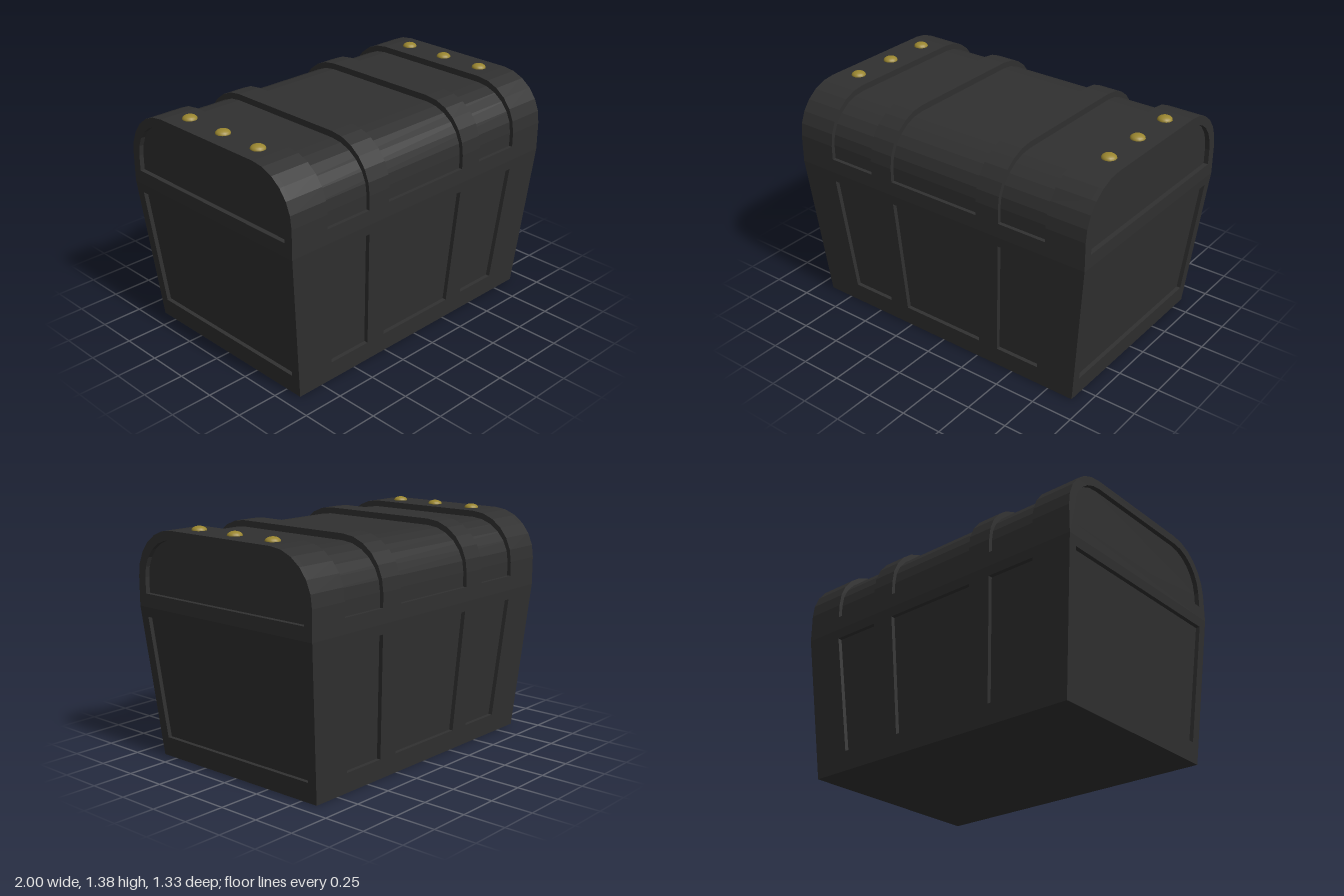
import * as THREE from 'three';

const SEAM = 0.9;      // height where the lid meets the body
const DEPTH = 0.025;   // recess depth of the panels
const halfX = y => 0.91 + 0.09 * y / SEAM;
const halfZ = y => 0.605 + 0.06 * y / SEAM;

// Symmetric arch outline in (z, y): straight walls, elliptical shoulders, flat top
function archPoints(bottom, half, spring, top, flat) {
  const right = [new THREE.Vector2(half, bottom)];
  const steps = 6;
  for (let i = 0; i <= steps; i++) {
    const a = (i / steps) * Math.PI / 2;
    right.push(new THREE.Vector2(flat + (half - flat) * Math.cos(a), spring + (top - spring) * Math.sin(a)));
  }
  const left = right.map(p => new THREE.Vector2(-p.x, p.y)).reverse();
  return [...right, ...left];
}

// Extrude a (z, y) shape along x from x0 to x1
function extrudeX(shape, x0, x1) {
  const g = new THREE.ExtrudeGeometry(shape, { depth: x1 - x0, bevelEnabled: false });
  g.rotateY(Math.PI / 2);
  g.translate(x0, 0, 0);
  return g;
}

// Sloping wall frame with panel openings, mitred at the corners
function wallFrame(across, out, holes) {
  const v = (x, y) => new THREE.Vector2(x, y);
  const shape = new THREE.Shape([v(-across(0), 0), v(across(0), 0), v(across(SEAM), SEAM), v(-across(SEAM), SEAM)]);
  for (const [b0, b1, t0, t1] of holes) {
    shape.holes.push(new THREE.Path([v(b0, 0.118), v(t0, 0.842), v(t1, 0.842), v(b1, 0.118)]));
  }
  const g = new THREE.ExtrudeGeometry(shape, { depth: DEPTH, bevelEnabled: false });
  const p = g.attributes.position;
  for (let i = 0; i < p.count; i++) {
    let x = p.getX(i);
    const y = p.getY(i), inset = DEPTH - p.getZ(i);
    if (Math.abs(x) > across(y) - 0.001) x -= Math.sign(x) * inset;
    p.setXYZ(i, x, y, out(y) - inset);
  }
  g.computeVertexNormals();
  return g;
}

export function createModel() {
  const dark = new THREE.MeshStandardMaterial({ color: 0x303030, flatShading: true });
  dark.name = 'charcoal';
  const gold = new THREE.MeshStandardMaterial({ color: 0x9a8630 });
  gold.name = 'gold';

  const chest = new THREE.Group();
  chest.name = 'chest';
  const body = new THREE.Group();
  body.name = 'body';
  const lid = new THREE.Group();
  lid.name = 'lid';
  chest.add(body, lid);
  const add = (parent, name, geometry, material = dark) => {
    const m = new THREE.Mesh(geometry, material);
    m.name = name;
    parent.add(m);
    return m;
  };

  // Tapered core whose faces are the recessed panels
  const core = new THREE.BoxGeometry(2, SEAM, 2);
  core.translate(0, SEAM / 2, 0);
  const p = core.attributes.position;
  for (let i = 0; i < p.count; i++) {
    const y = p.getY(i);
    p.setXYZ(i, p.getX(i) * (halfX(y) - DEPTH), y, p.getZ(i) * (halfZ(y) - DEPTH));
  }
  core.computeVertexNormals();
  add(body, 'bodyPanels', core);

  // Frames on the four walls
  const longHoles = [
    [-0.27, 0.27, -0.3, 0.3],
    [0.4, 0.68, 0.445, 0.75],
    [-0.68, -0.4, -0.75, -0.445],
  ];
  const endHoles = [[-0.555, 0.555, -0.605, 0.605]];
  const longFrame = wallFrame(halfX, halfZ, longHoles);
  const endFrame = wallFrame(halfZ, halfX, endHoles);
  add(body, 'frontFrame', longFrame);
  add(body, 'backFrame', longFrame).rotation.y = Math.PI;
  add(body, 'leftFrame', endFrame).rotation.y = Math.PI / 2;
  add(body, 'rightFrame', endFrame).rotation.y = -Math.PI / 2;

  // Recessed lid surface and the rail around its foot
  const inner = new THREE.Shape(archPoints(SEAM, 0.642, 1.07, 1.318, 0.38));
  add(lid, 'lidPanels', extrudeX(inner, -0.972, 0.972));
  const rail = new THREE.BoxGeometry(1.94, 0.086, 1.33);
  rail.translate(0, SEAM + 0.043, 0);
  add(lid, 'lidRail', rail);

  // Raised bands across the lid
  const band = new THREE.Shape(archPoints(0.98, 0.665, 1.07, 1.355, 0.38));
  for (const s of [-1, 1]) {
    for (const [a, b] of [[0.3, 0.45], [0.755, 0.97]]) {
      add(lid, 'lidBand', extrudeX(band, Math.min(s * a, s * b), Math.max(s * a, s * b)));
    }
  }

  // End frames with an arched opening
  const end = new THREE.Shape(archPoints(SEAM, 0.665, 1.07, 1.355, 0.38));
  end.holes.push(new THREE.Path(archPoints(0.977, 0.61, 1.07, 1.302, 0.38).reverse()));
  add(lid, 'lidEndFrame', extrudeX(end, 0.97, 1));
  add(lid, 'lidEndFrame', extrudeX(end, -1, -0.97));

  // Domed studs along both ends
  const stud = new THREE.SphereGeometry(0.043, 16, 6, 0, Math.PI * 2, 0, Math.PI / 2);
  stud.scale(1, 0.56, 1);
  for (const x of [-0.878, 0.878]) {
    for (const z of [-0.28, 0.003, 0.284]) {
      add(lid, 'stud', stud, gold).position.set(x, 1.355, z);
    }
  }
  return chest;
}
